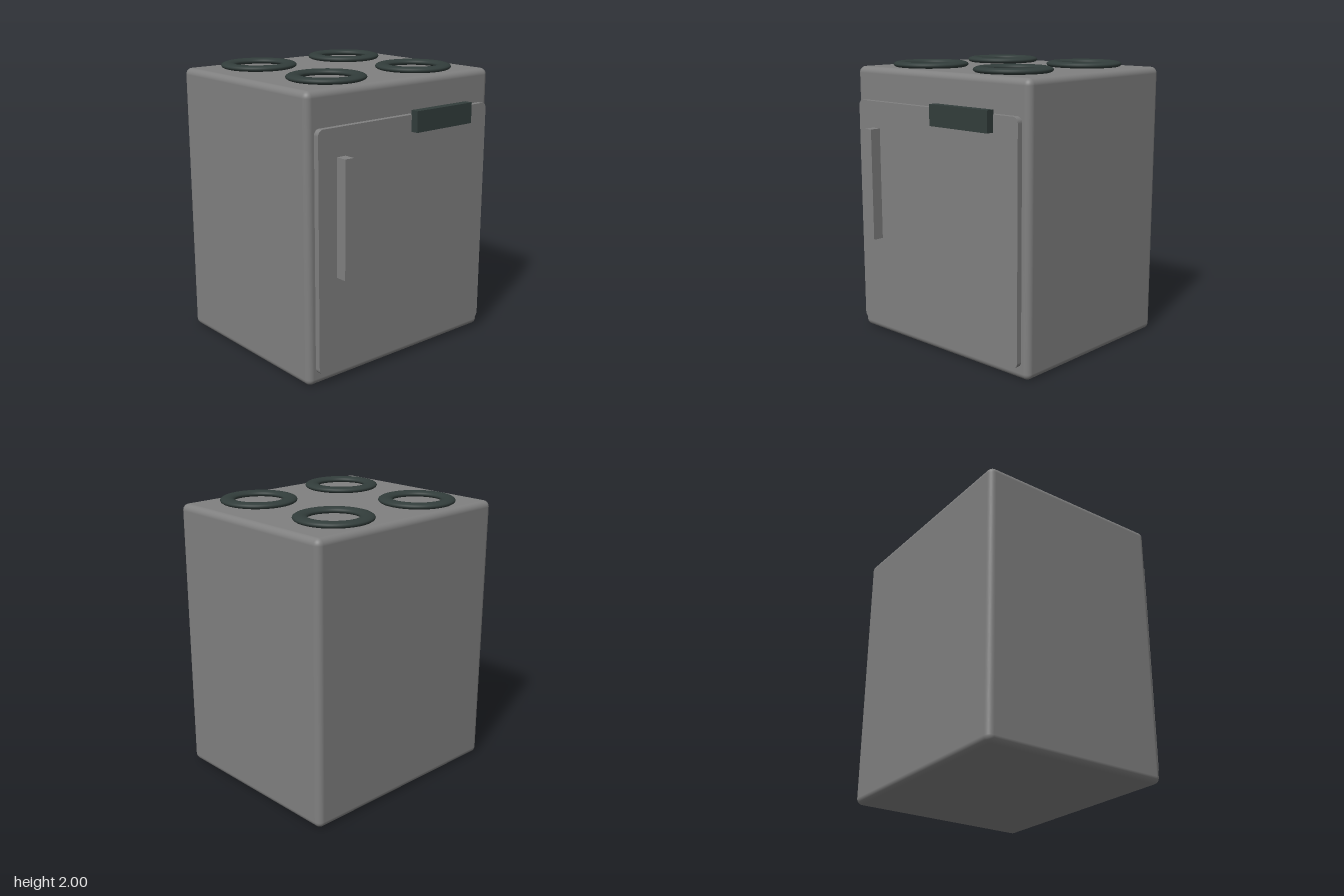
import * as THREE from 'three';
import { RoundedBoxGeometry } from 'three/addons/geometries/RoundedBoxGeometry.js';

export function createModel() {
  const model = new THREE.Group();
  model.name = 'stove';

  const grey = new THREE.MeshStandardMaterial({ color: 0x808080 });
  grey.name = 'enamel grey';
  const dark = new THREE.MeshStandardMaterial({ color: 0x323d3b });
  dark.name = 'dark iron';

  function add(name, geometry, material, x, y, z) {
    const mesh = new THREE.Mesh(geometry, material);
    mesh.name = name;
    mesh.position.set(x, y, z);
    model.add(mesh);
    return mesh;
  }

  // Cabinet with softly rounded edges
  add('cabinet', new RoundedBoxGeometry(1.65, 1.96, 1.405, 5, 0.045), grey, 0, 0.98, -0.0575);

  // Door: a thin slab with rounded corners
  const w = 0.765, h = 0.82, r = 0.04;
  const outline = new THREE.Shape();
  outline.absarc(w - r, h - r, r, 0, Math.PI / 2);
  outline.absarc(-w + r, h - r, r, Math.PI / 2, Math.PI);
  outline.absarc(-w + r, -h + r, r, Math.PI, Math.PI * 1.5);
  outline.absarc(w - r, -h + r, r, Math.PI * 1.5, Math.PI * 2);
  const slab = new THREE.ExtrudeGeometry(outline, { depth: 0.06, bevelEnabled: false, curveSegments: 6 });
  add('door', slab, grey, 0, 0.905, 0.625);

  // Upright door handle and control panel
  add('doorHandle', new THREE.BoxGeometry(0.07, 0.8, 0.085), grey, -0.58, 1.135, 0.7225);
  add('controlPanel', new THREE.BoxGeometry(0.525, 0.145, 0.06), dark, 0.293, 1.6825, 0.709);

  // Four flattened burner rings
  const ring = new THREE.TorusGeometry(0.219, 0.051, 16, 64);
  ring.rotateX(-Math.PI / 2);
  ring.scale(1, 0.43, 0.985);
  for (const [row, z] of [['back', -0.44], ['front', 0.317]]) {
    for (const [side, x] of [['Left', 0.395], ['Right', -0.397]]) {
      add(`${row}${side}Burner`, ring, dark, x, 1.978, z);
    }
  }

  return model;
}
